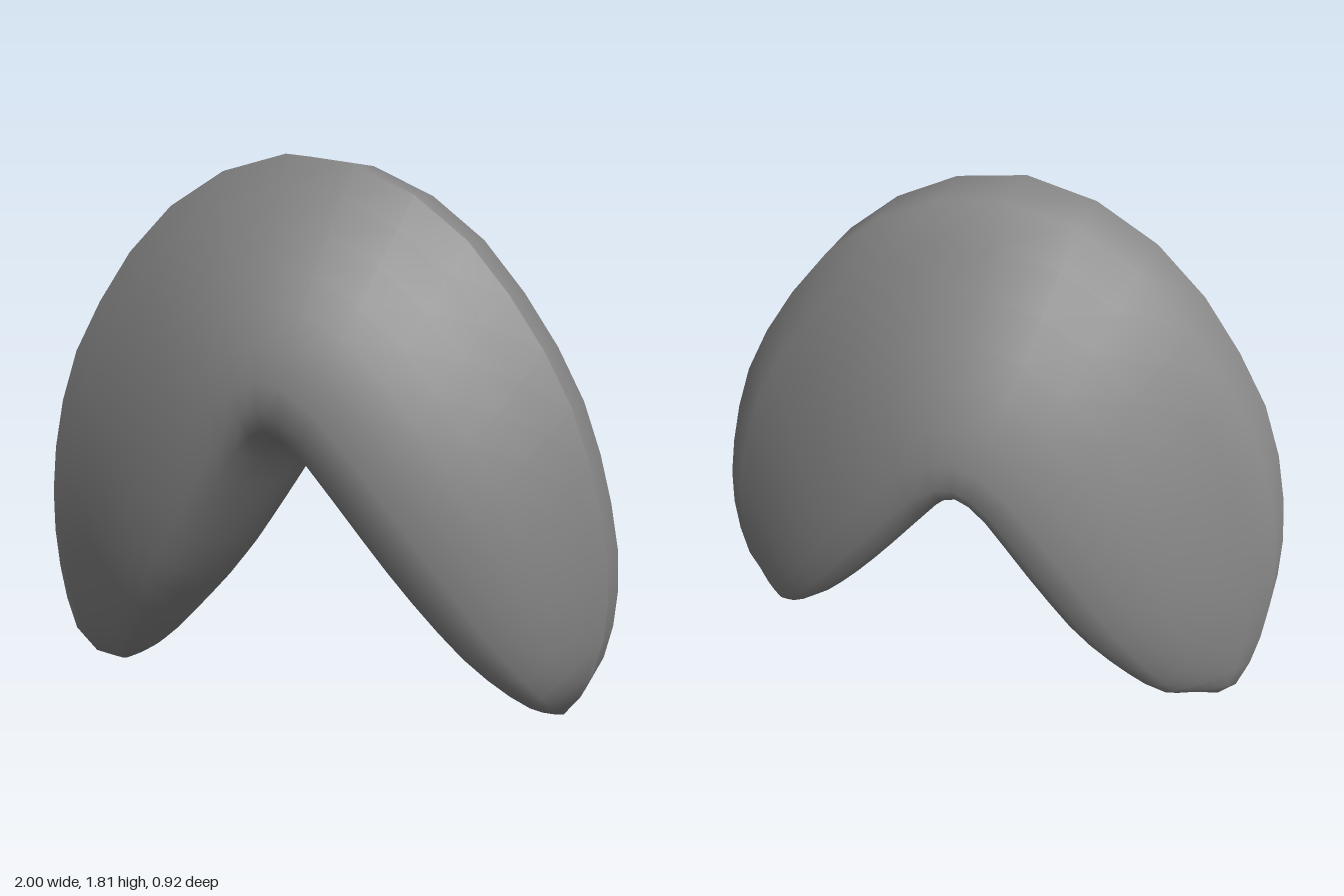
import * as THREE from 'three';

// Outline of the folded wafer: outer rim and inner fold, from the -x tip to the +x tip
const curve = (pts) => new THREE.CatmullRomCurve3(
  pts.map(([x, y]) => new THREE.Vector3(x, y, 0)), false, 'centripetal');

const outer = curve([
  [-0.78, 0], [-0.83, 0], [-0.9, 0.07], [-0.95, 0.18], [-0.99, 0.38], [-1, 0.6], [-0.97, 0.85],
  [-0.89, 1.12], [-0.75, 1.36], [-0.58, 1.57], [-0.36, 1.73], [-0.1, 1.81], [0.12, 1.79],
  [0.35, 1.69], [0.55, 1.53], [0.72, 1.31], [0.86, 1.07], [0.95, 0.8], [1, 0.5],
  [0.98, 0.27], [0.93, 0.13], [0.85, 0.015]]);
// The middle point is the notch
const inner = curve([
  [-0.78, 0], [-0.65, 0.07], [-0.5, 0.22], [-0.36, 0.38], [-0.24, 0.56], [-0.14, 0.72],
  [-0.06, 0.84], [-0.02, 0.87], [0.03, 0.84], [0.15, 0.69], [0.28, 0.52], [0.42, 0.35],
  [0.58, 0.18], [0.75, 0.055], [0.85, 0.015]]);

// Teardrop section: [distance from rim to fold, fullness]
const PROFILE = [[0, 0], [0.12, 0.19], [0.25, 0.4], [0.38, 0.61], [0.5, 0.78], [0.62, 0.92],
  [0.74, 0.99], [0.84, 1], [0.91, 0.9], [0.96, 0.68], [0.99, 0.36]];
const STATIONS = 28;

// One closed cross-section: front rim -> fold -> back rim -> front rim
function section(u) {
  const o = outer.getPointAt(u), i = inner.getPoint(u);
  const t = Math.abs(2 * u - 1);
  const depth = 0.46 * Math.pow(Math.max(0, 1 - Math.pow(t, 2.6)), 0.9);
  const rim = Math.min(0.1 - 0.015 * t, depth * 0.8);
  const shift = 0.045 * (1 - t * t * t);
  const wall = (sign) => PROFILE.map(([s, f]) => {
    const half = s > 0.84 ? depth * f : rim + (depth - rim) * f;
    const p = o.clone().lerp(i, s);
    p.z = shift * (1 - s) * (1 - s) + sign * half;
    return p;
  });
  const front = wall(1);
  return [...front, i, ...wall(-1).reverse(), front[0]];
}

// Skin a list of equally long rows
function loft(rows) {
  const n = rows[0].length, index = [];
  for (let r = 0; r < rows.length - 1; r++) {
    for (let c = 0; c < n - 1; c++) {
      const a = r * n + c, b = a + n;
      index.push(a, a + 1, b, b, a + 1, b + 1);
    }
  }
  const geo = new THREE.BufferGeometry().setFromPoints(rows.flat());
  geo.setIndex(index);
  geo.computeVertexNormals();
  return geo;
}

export function createModel() {
  const group = new THREE.Group();
  group.name = 'foldedCookie';
  const material = new THREE.MeshStandardMaterial({ color: 0x888888 });

  const rows = [];
  for (let k = 0; k <= STATIONS; k++) {
    // stations gather slightly toward the tips
    const v = k / STATIONS;
    rows.push(section(v - 0.06 * Math.sin(2 * Math.PI * v)));
  }

  // Puffed shell: both lobes, the fold between them and the narrow outer rim,
  // creased along the front edge of the rim
  const shell = new THREE.Mesh(loft(rows), material);
  shell.name = 'shell';
  group.add(shell);
  return group;
}
